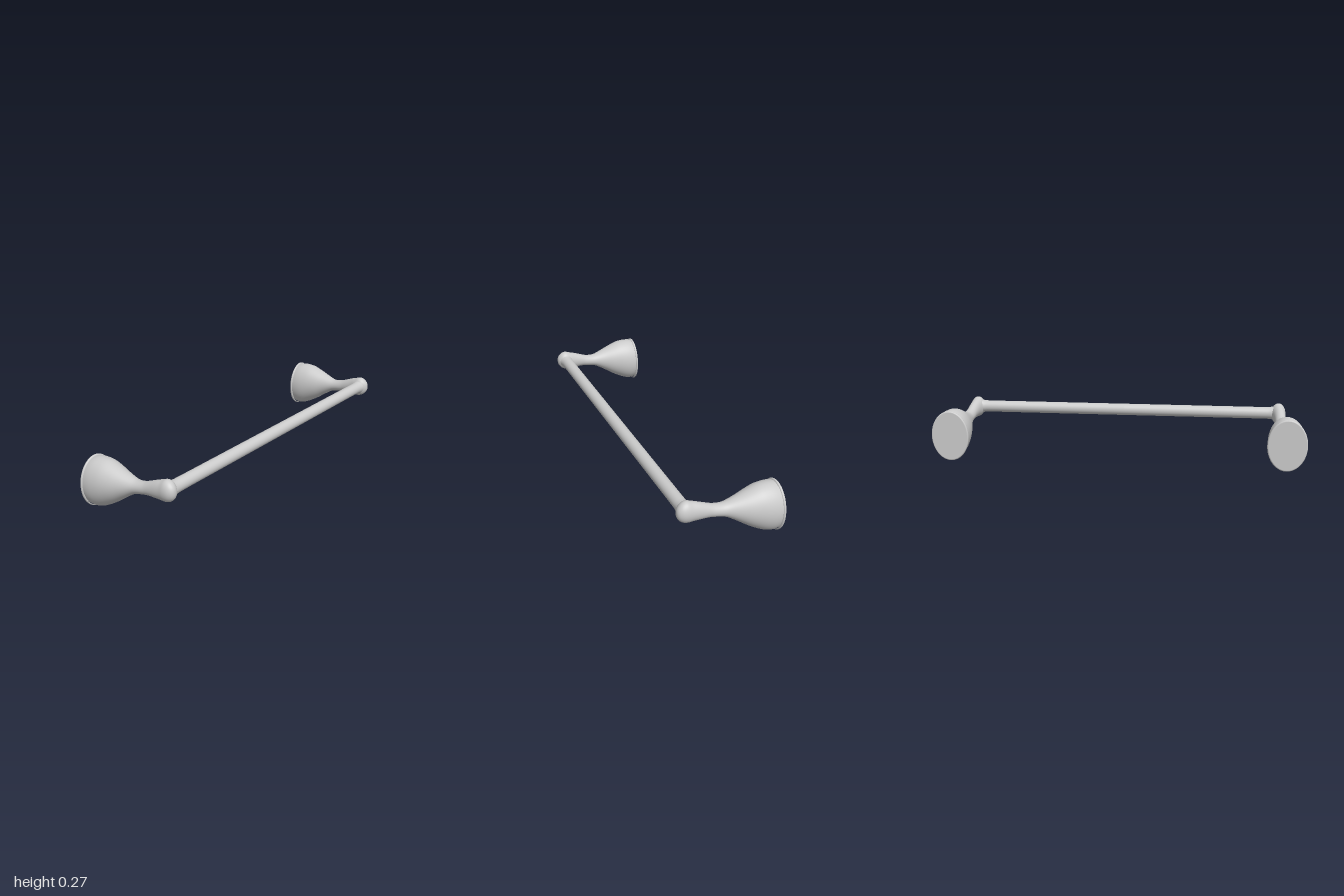
import * as THREE from 'three';

const material = new THREE.MeshStandardMaterial({ color: 0xcccccc });
const SIDES = 48;

// Closed elliptical rings along z. Section: [z, top, bottom, halfWidth, centreX]
function loft(sections) {
  const pos = [], index = [];
  sections.forEach(([z, top, bottom, w, cx]) => {
    for (let i = 0; i < SIDES; i++) {
      const a = (i / SIDES) * Math.PI * 2;
      pos.push(cx + w * Math.cos(a), (top + bottom) / 2 + ((top - bottom) / 2) * Math.sin(a), z);
    }
  });
  for (let r = 0; r < sections.length - 1; r++) {
    for (let i = 0; i < SIDES; i++) {
      const j = (i + 1) % SIDES;
      const a = r * SIDES + i, b = r * SIDES + j, c = a + SIDES, d = b + SIDES;
      index.push(a, b, c, b, d, c);
    }
  }
  const g = new THREE.BufferGeometry();
  g.setAttribute('position', new THREE.Float32BufferAttribute(pos, 3));
  g.setIndex(index);
  g.computeVertexNormals();
  return g;
}

// Catmull-Rom blend of the key sections
function smooth(keys, steps) {
  const out = [];
  const cr = (a, b, c, d, t) =>
    0.5 * (2 * b + (c - a) * t + (2 * a - 5 * b + 4 * c - d) * t * t + (3 * b - a - 3 * c + d) * t * t * t);
  for (let i = 0; i < keys.length - 1; i++) {
    const k = [Math.max(i - 1, 0), i, i + 1, Math.min(i + 2, keys.length - 1)].map((n) => keys[n]);
    for (let s = 0; s < steps; s++) {
      out.push(k[1].map((_, n) => cr(k[0][n], k[1][n], k[2][n], k[3][n], s / steps)));
    }
  }
  out.push(keys[keys.length - 1]);
  return out;
}

function mesh(geometry, name) {
  const m = new THREE.Mesh(geometry, material);
  m.name = name;
  return m;
}

// Wall bracket: flared bell, narrow neck, rounded knuckle
function makeBracket(side, name) {
  const bracket = new THREE.Group();
  bracket.name = name;
  const keys = [
    [-0.245, 0.266, 0.012, 0.098, 0.897],
    [-0.22, 0.271, 0.010, 0.099, 0.897],
    [-0.19, 0.272, 0.017, 0.097, 0.897],
    [-0.15, 0.268, 0.036, 0.090, 0.897],
    [-0.10, 0.252, 0.066, 0.076, 0.896],
    [-0.05, 0.234, 0.101, 0.058, 0.894],
    [0.00, 0.218, 0.133, 0.041, 0.890],
    [0.03, 0.214, 0.145, 0.035, 0.888],
    [0.07, 0.220, 0.153, 0.032, 0.886],
    [0.10, 0.231, 0.157, 0.031, 0.885],
    [0.15, 0.251, 0.157, 0.034, 0.883],
    [0.18, 0.261, 0.156, 0.038, 0.880],
    [0.207, 0.270, 0.156, 0.040, 0.880],
    [0.230, 0.264, 0.164, 0.036, 0.881],
    [0.247, 0.249, 0.179, 0.025, 0.883],
    [0.256, 0.232, 0.197, 0.012, 0.884],
    [0.258, 0.214, 0.214, 0, 0.884],
  ].map(([z, t, b, w, cx]) => [z, t, b, w, cx * side]);
  bracket.add(mesh(loft(smooth(keys, 4)), 'bellPost'));

  // Rounded rim against the wall
  const rim = [];
  for (let i = 0; i <= 12; i++) {
    const a = (i / 12) * Math.PI;
    const inset = 0.007 * (1 - Math.sin(a));
    rim.push([-0.251 - 0.007 * Math.cos(a), 0.272 - inset, inset, 0.103 - inset, 0.897 * side]);
  }
  bracket.add(mesh(loft(rim), 'wallRim'));

  // Flat back
  const back = mesh(new THREE.CircleGeometry(1, SIDES), 'backPlate');
  back.rotation.y = Math.PI;
  back.scale.set(0.096, 0.129, 1);
  back.position.set(0.897 * side, 0.136, -0.258);
  bracket.add(back);
  return bracket;
}

export function createModel() {
  const model = new THREE.Group();
  model.name = 'towelBar';
  model.add(makeBracket(1, 'leftBracket'), makeBracket(-1, 'rightBracket'));

  // Rail with slightly flared ends that blend into the knuckles
  const half = [[0, 0.033], [0.76, 0.033], [0.82, 0.0335], [0.845, 0.036], [0.862, 0.041], [0.872, 0.044]];
  const profile = [
    ...half.slice(1).reverse().map(([x, r]) => new THREE.Vector2(r, -x)),
    ...half.map(([x, r]) => new THREE.Vector2(r, x)),
  ];
  const rail = mesh(new THREE.LatheGeometry(profile, 32), 'rail');
  rail.rotation.z = Math.PI / 2;
  rail.position.set(0, 0.214, 0.208);
  model.add(rail);
  return model;
}
